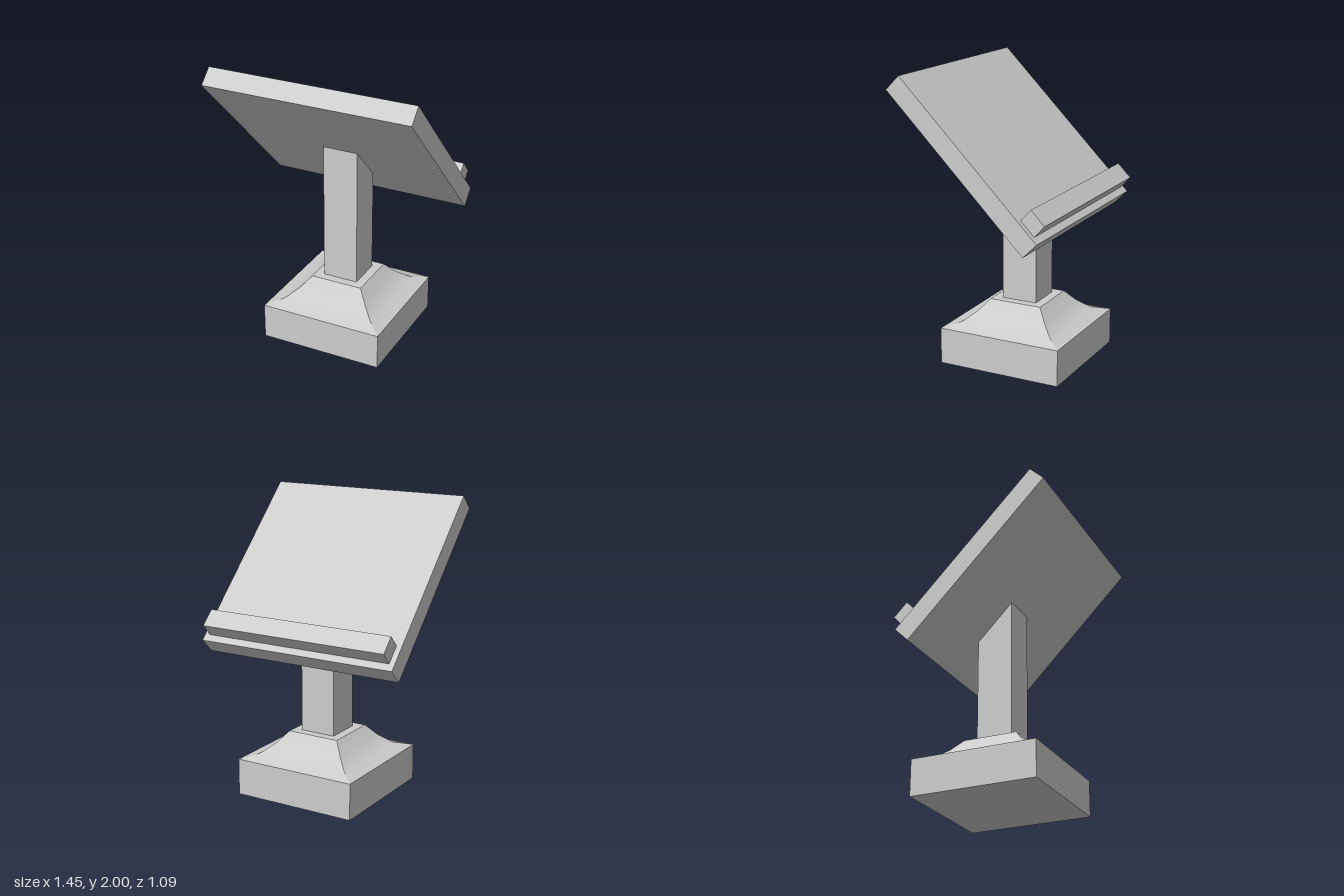
import * as THREE from 'three';
import { mergeGeometries } from 'three/addons/utils/BufferGeometryUtils.js';

const POST_Z = -0.085;

// Prism spanning the full width in x from a side outline of [z, y] points
function sidePrism(points, width) {
  const shape = new THREE.Shape(points.map(([z, y]) => new THREE.Vector2(-z, y)));
  const geo = new THREE.ExtrudeGeometry(shape, { depth: width, bevelEnabled: false });
  geo.translate(0, 0, -width / 2);
  geo.rotateY(Math.PI / 2);
  return geo;
}

// Square flare: one curved side, repeated four times so the corners stay sharp
function squareFlare(profile) {
  const positions = [], indices = [];
  profile.forEach(([r, y], i) => {
    positions.push(-r, y, r, r, y, r);
    if (i > 0) {
      const a = (i - 1) * 2;
      indices.push(a, a + 1, a + 3, a, a + 3, a + 2);
    }
  });
  const side = new THREE.BufferGeometry();
  side.setAttribute('position', new THREE.Float32BufferAttribute(positions, 3));
  side.setIndex(indices);
  side.computeVertexNormals();
  return mergeGeometries([0, 1, 2, 3].map((k) => side.clone().rotateY((k * Math.PI) / 2)));
}

export function createModel() {
  const group = new THREE.Group();
  const grey = new THREE.MeshStandardMaterial({ color: 0xcccccc });
  grey.name = 'grey';

  const add = (name, geo, x = 0, y = 0, z = 0) => {
    const mesh = new THREE.Mesh(geo, grey);
    mesh.name = name;
    mesh.position.set(x, y, z);
    group.add(mesh);
  };

  // Square plinth with a concave flare and its flat top
  add('base', new THREE.BoxGeometry(0.872, 0.25, 0.872), 0, 0.125, POST_Z);
  add('baseFlare', squareFlare([[0.436, 0.25], [0.332, 0.28], [0.253, 0.345], [0.187, 0.423]]), 0, 0, POST_Z);
  add('flareTop', new THREE.PlaneGeometry(0.374, 0.374).rotateX(-Math.PI / 2), 0, 0.423, POST_Z);

  // Post, cut at a slant to meet the board
  add('post', sidePrism([[0.04, 0.423], [0.04, 1.4], [-0.21, 1.15], [-0.21, 0.423]], 0.25));

  // Sloping board and the ledge along its lower edge
  add('board', sidePrism([[0.45, 2], [0.545, 1.905], [-0.415, 0.945], [-0.51, 1.04]], 1.446));
  add('ledge', sidePrism([[-0.382, 1.168], [-0.475, 1.075], [-0.545, 1.152], [-0.452, 1.245]], 1.37));

  return group;
}
